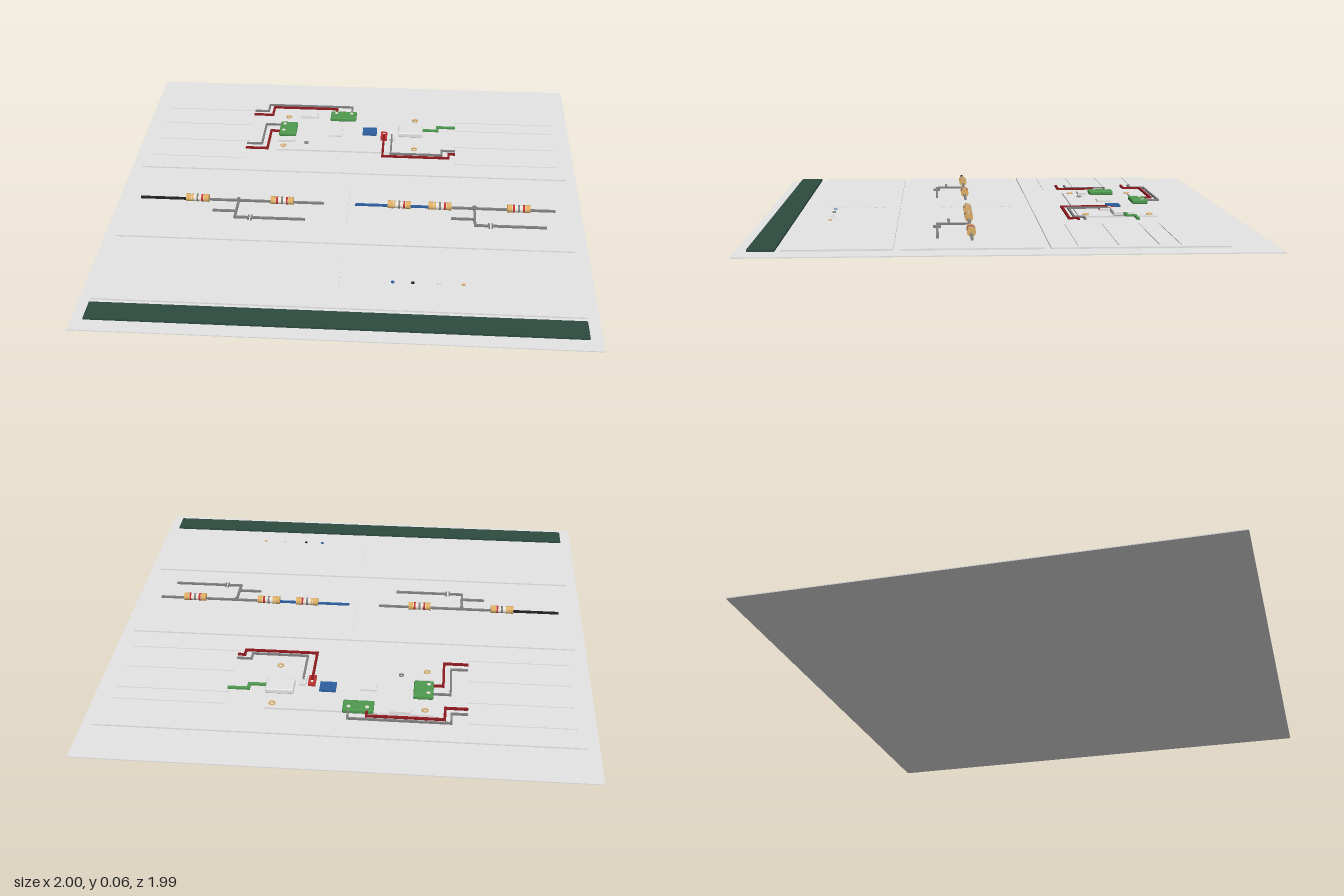
import * as THREE from 'three';
import { RoundedBoxGeometry } from 'three/addons/geometries/RoundedBoxGeometry.js';

const mat = (name, color) => Object.assign(new THREE.MeshStandardMaterial({ color }), { name });
const M = {
  sheet: mat('sheet grey', 0xe5e5e5),
  line: mat('line grey', 0x808080),
  header: mat('dark green', 0x2d4a3e),
  green: mat('terminal green', 0x4f9a50),
  red: mat('red', 0xc03030),
  darkRed: mat('lead red', 0x8e1a1e),
  blue: mat('blue', 0x2d5fa0),
  tan: mat('tan', 0xdcae64),
  white: mat('off white', 0xefeae0),
  black: mat('black', 0x222222),
};

export function createModel() {
  const root = new THREE.Group();
  root.name = 'circuitDiagram';

  const add = (name, geo, m, x, y, z, parent = root) => {
    const mesh = new THREE.Mesh(geo, m);
    mesh.name = name;
    mesh.position.set(x, y, z);
    parent.add(mesh);
    return mesh;
  };
  // box given by its extents
  const block = (name, m, x0, x1, y0, y1, z0, z1, parent) =>
    add(name, new THREE.BoxGeometry(x1 - x0, y1 - y0, z1 - z0), m,
      (x0 + x1) / 2, (y0 + y1) / 2, (z0 + z1) / 2, parent);
  // box with softened edges
  const softBlock = (name, m, x0, x1, y0, y1, z0, z1) =>
    add(name, new RoundedBoxGeometry(x1 - x0, y1 - y0, z1 - z0, 3, 0.005), m,
      (x0 + x1) / 2, (y0 + y1) / 2, (z0 + z1) / 2);
  // thin upright disc
  const disc = (name, m, r, x, y, z) =>
    add(name, new THREE.CylinderGeometry(r, r, 0.003, 20), m, x, y, z);
  // square-cornered run of wire through [x, z] points
  const wire = (name, m, pts, w = 0.01) => {
    const g = new THREE.Group(), y = 0.04, t = 0.004;
    g.name = name;
    for (let i = 1; i < pts.length; i++) {
      const [a, b] = [pts[i - 1], pts[i]], h = w / 2;
      block('wireRun', m, Math.min(a[0], b[0]) - h, Math.max(a[0], b[0]) + h, y - t, y + t,
        Math.min(a[1], b[1]) - h, Math.max(a[1], b[1]) + h, g);
    }
    root.add(g);
  };
  // flat ring lying on the board
  const ring = (name, m, x, z, r) => {
    const t = add(name, new THREE.TorusGeometry(r, 0.003, 16, 32), m, x, 0.029, z);
    t.rotation.x = Math.PI / 2;
  };

  // backing sheet, header strip and three cards
  block('sheet', M.sheet, -1, 1, 0, 0.004, -0.995, 0.995);
  block('headerStrip', M.header, -0.95, 0.95, 0.014, 0.022, 0.845, 0.945);
  block('boardCard', M.sheet, -0.95, 0.95, 0.014, 0.02, -0.807, -0.148);
  block('schematicCard', M.sheet, -0.95, 0.95, 0.014, 0.02, -0.124, 0.397);
  block('legendCard', M.sheet, -0.95, 0.95, 0.014, 0.02, 0.422, 0.822);

  // dashed divider down the middle of the two lower cards
  for (const [a, b] of [[-0.06, 0.26], [0.49, 0.73]])
    for (let z = a; z < b; z += 0.032) block('dividerDash', M.sheet, -0.002, 0.002, 0.019, 0.023, z, z + 0.014);

  // label rules either side of the board
  for (const [x0, x1, first] of [[-0.92, -0.5, -0.69], [0.46, 0.92, -0.63]])
    for (const z of [first, -0.55, -0.4, -0.25])
      block('labelRule', M.sheet, x0, x1, 0.019, 0.023, z - 0.002, z + 0.002);

  // circuit board with mounting holes
  block('boardPlate', M.sheet, -0.364, 0.304, 0.02, 0.027, -0.654, -0.325);
  for (const x of [-0.332, 0.274]) for (const z of [-0.624, -0.357]) ring('mountingHole', M.tan, x, z, 0.011);
  ring('boardButton', M.line, -0.228, -0.388, 0.008);

  // board components
  softBlock('leftTerminal', M.green, -0.362, -0.282, 0.026, 0.045, -0.552, -0.443);
  softBlock('backTerminal', M.green, -0.131, -0.008, 0.026, 0.045, -0.667, -0.598);
  for (const [x, z] of [[-0.342, -0.528], [-0.342, -0.47], [-0.105, -0.645], [-0.032, -0.645]])
    disc('terminalScrew', M.white, 0.008, x, 0.0455, z);
  block('backChip', M.sheet, -0.278, -0.192, 0.026, 0.037, -0.655, -0.618);
  block('leftChip', M.sheet, -0.36, -0.284, 0.026, 0.037, -0.428, -0.39);
  block('centreChip', M.sheet, -0.132, -0.066, 0.026, 0.034, -0.51, -0.452);
  softBlock('connectorPort', M.sheet, 0.198, 0.312, 0.026, 0.048, -0.557, -0.468);
  block('blueModule', M.blue, 0.03, 0.096, 0.022, 0.038, -0.53, -0.472);
  block('redPin', M.red, 0.116, 0.146, 0.024, 0.038, -0.495, -0.43);
  block('greyPin', M.sheet, 0.154, 0.182, 0.024, 0.038, -0.495, -0.43);
  for (const x of [0.131, 0.168]) disc('pinContact', M.white, 0.006, x, 0.038, -0.475);

  // leads to the board
  wire('backRedLead', M.darkRed, [[-0.495, -0.62], [-0.41, -0.62], [-0.41, -0.695], [-0.105, -0.695], [-0.105, -0.665]]);
  wire('backGreyLead', M.line, [[-0.495, -0.655], [-0.435, -0.655], [-0.435, -0.717], [-0.032, -0.717], [-0.032, -0.665]], 0.008);
  wire('leftRedLead', M.darkRed, [[-0.495, -0.308], [-0.4, -0.308], [-0.4, -0.47], [-0.36, -0.47]]);
  wire('leftGreyLead', M.line, [[-0.495, -0.348], [-0.43, -0.348], [-0.43, -0.528], [-0.36, -0.528]], 0.008);
  wire('rightRedLead', M.darkRed, [[0.131, -0.46], [0.131, -0.27], [0.432, -0.27], [0.432, -0.305], [0.457, -0.305]]);
  wire('rightGreyLead', M.line, [[0.168, -0.46], [0.168, -0.294], [0.4, -0.294], [0.4, -0.333], [0.457, -0.333]], 0.008);
  wire('greenLead', M.green, [[0.31, -0.515], [0.38, -0.515], [0.38, -0.547], [0.457, -0.547]], 0.013);

  // resistor: tan ends, pale barrel and colour bands along x
  const resistor = (x, firstBand) => {
    const g = new THREE.Group();
    g.name = 'resistor';
    const part = (name, m, r, len, dx) => {
      const c = add(name, new THREE.CylinderGeometry(r, r, len, 24), m, dx, 0, 0, g);
      c.rotation.z = Math.PI / 2;
    };
    part('barrel', M.white, 0.0155, 0.09, 0);
    for (const s of [-1, 1]) part('endCap', M.tan, 0.017, 0.022, s * 0.038);
    [firstBand, M.line, M.red].forEach((m, i) => part('band', m, 0.0163, 0.008, -0.021 + i * 0.021));
    g.position.set(x, 0.047, 0.135);
    root.add(g);
  };
  [[-0.647, M.tan], [-0.282, M.red], [0.22, M.tan], [0.393, M.tan], [0.727, M.red]]
    .forEach(([x, band]) => resistor(x, band));

  // series lines through the resistors
  wire('inputLine', M.black, [[-0.89, 0.135], [-0.65, 0.135]]);
  wire('leftLine', M.line, [[-0.64, 0.135], [-0.107, 0.135]]);
  wire('blueLine', M.blue, [[0.037, 0.135], [0.39, 0.135]]);
  wire('rightLine', M.line, [[0.4, 0.135], [0.877, 0.135]]);

  // matching branches, each with a flat two-plate capacitor
  for (const x of [-0.47, 0.54]) {
    disc('junction', M.line, 0.008, x, 0.05, 0.135);
    wire('branchLine', M.line, [[x, 0.135], [x, 0.262], [x + 0.053, 0.262]]);
    wire('tapLine', M.line, [[x - 0.095, 0.217], [x, 0.217]]);
    for (const d of [0.058, 0.071]) block('capacitorPlate', M.line, x + d - 0.003, x + d + 0.003, 0.036, 0.044, 0.247, 0.278);
    wire('groundLine', M.line, [[x + 0.076, 0.262], [x + 0.292, 0.262]]);
  }

  // legend dots
  [[0.21, M.blue], [0.289, M.black], [0.39, M.white], [0.485, M.tan]].forEach(([x, m]) =>
    disc('legendDot', m, 0.007, x, 0.05, 0.685));

  return root;
}
